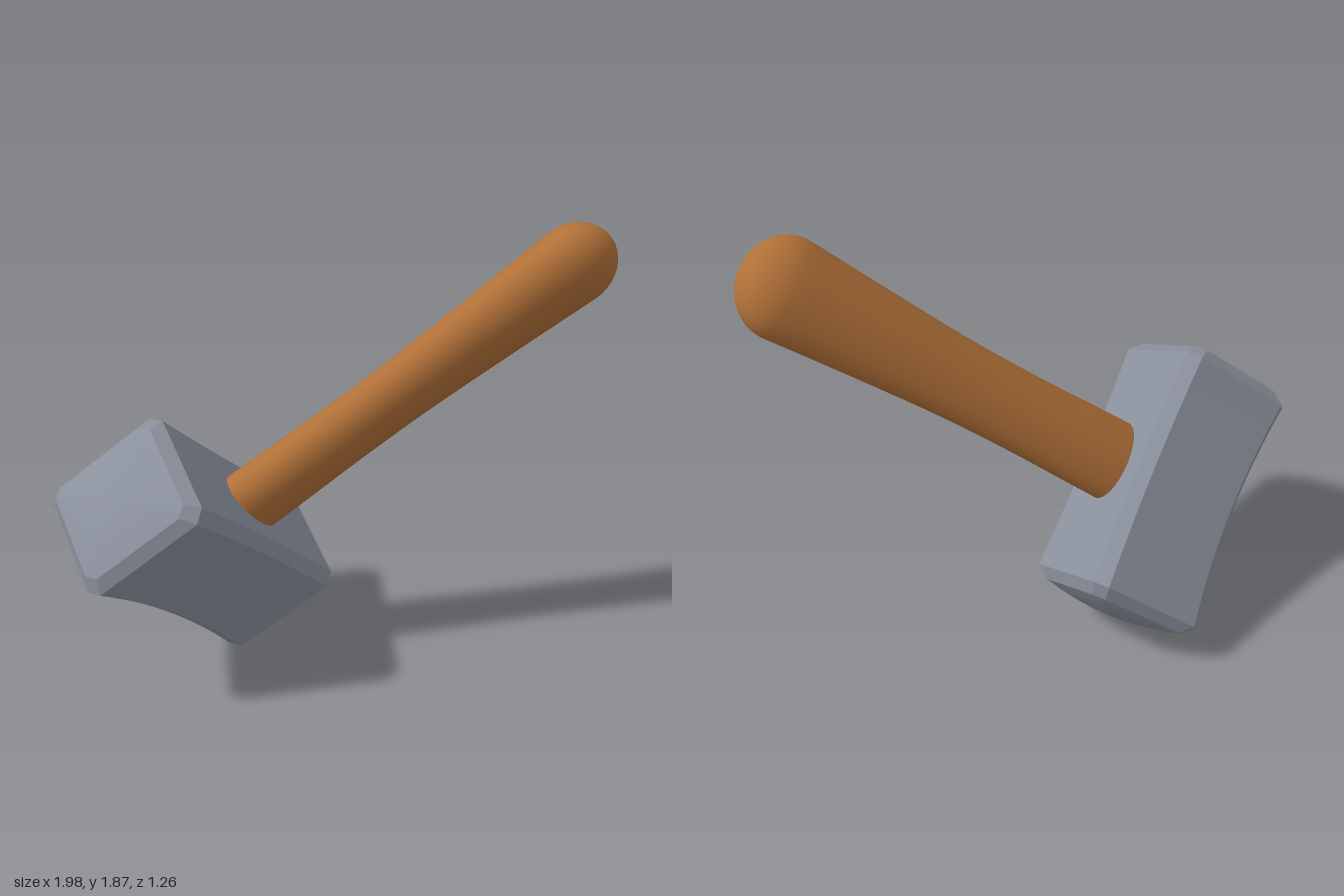
import * as THREE from 'three';
import { toCreasedNormals } from 'three/addons/utils/BufferGeometryUtils.js';

// Half sizes of the head: along its length, along the handle, across; and its chamfer
const U = 0.535, V = 0.275, T = 0.252, B = 0.045;

// Chamfered block with slightly hollow sides and domed striking faces
function headGeometry() {
  const section = [
    [V, -T + B], [V, T - B], [V - B, T], [-V + B, T],
    [-V, T - B], [-V, -T + B], [-V + B, -T], [V - B, -T],
  ];
  const stations = [];
  const cap = [0.001, 0.22, 0.44, 0.66, 0.85];
  const dome = (s) => U + 0.04 * (1 - (s / 0.85) ** 2);
  for (const s of cap) stations.push([-dome(s), s]);
  for (let i = 0; i <= 12; i++) stations.push([(U - B) * (i / 6 - 1), 1]);
  for (const s of [...cap].reverse()) stations.push([dome(s), s]);

  const positions = [], indices = [], n = section.length;
  stations.forEach(([u, s], i) => {
    const waist = s === 1 ? 1 - (u / (U - B)) ** 2 : 0;
    for (const [v, t] of section) {
      positions.push(
        u,
        v * s + (v < 0 ? 0.03 * waist : 0),
        t * s - Math.sign(t) * 0.018 * waist,
      );
    }
    if (i === 0) return;
    for (let j = 0; j < n; j++) {
      const k = (j + 1) % n, p = (i - 1) * n, q = i * n;
      indices.push(p + j, p + k, q + k, p + j, q + k, q + j);
    }
  });
  const g = new THREE.BufferGeometry();
  g.setAttribute('position', new THREE.Float32BufferAttribute(positions, 3));
  g.setIndex(indices);
  return toCreasedNormals(g, 0.4);
}

// Oval, slightly waisted shaft with a rounded grip end
function handleGeometry() {
  const shaft = new THREE.SplineCurve([
    [0.165, -0.262], [0.166, 0.25], [0.155, 0.7], [0.155, 1.05], [0.17, 1.42], [0.19, 1.8],
  ].map(([r, y]) => new THREE.Vector2(r, y))).getPoints(24);
  const profile = [new THREE.Vector2(0, -0.28), new THREE.Vector2(0.145, -0.28), ...shaft];
  for (let i = 1; i <= 10; i++) {
    const a = (i / 10) * Math.PI / 2;
    profile.push(new THREE.Vector2(i === 10 ? 0 : 0.19 * Math.cos(a), 1.8 + 0.17 * Math.sin(a)));
  }
  const g = new THREE.LatheGeometry(profile, 40);
  g.scale(1, 1, 0.68);
  return toCreasedNormals(g, 0.6);
}

export function createModel() {
  const steel = new THREE.MeshStandardMaterial({ color: 0x8a909c });
  steel.name = 'steel grey';
  const wood = new THREE.MeshStandardMaterial({ color: 0xb07038 });
  wood.name = 'wood brown';

  const head = new THREE.Mesh(headGeometry(), steel);
  head.name = 'hammerHead';
  const handle = new THREE.Mesh(handleGeometry(), wood);
  handle.name = 'handle';

  // Tilt: the handle points up, left and forward; the head lies across it
  const hammer = new THREE.Group();
  hammer.name = 'hammer';
  const up = new THREE.Vector3(0.685, 0.62, 0.384).normalize();
  const along = new THREE.Vector3(0.725, -0.655, -0.23);
  along.addScaledVector(up, -along.dot(up)).normalize();
  const across = new THREE.Vector3().crossVectors(along, up);
  hammer.quaternion.setFromRotationMatrix(new THREE.Matrix4().makeBasis(along, up, across));
  hammer.position.set(-0.435, 0.59, -0.21);
  hammer.add(head, handle);

  const model = new THREE.Group();
  model.add(hammer);

  // Stand on the ground, centred
  model.updateMatrixWorld(true);
  const box = new THREE.Box3().setFromObject(model, true);
  const mid = box.getCenter(new THREE.Vector3());
  hammer.position.sub(new THREE.Vector3(mid.x, box.min.y, mid.z));
  return model;
}
